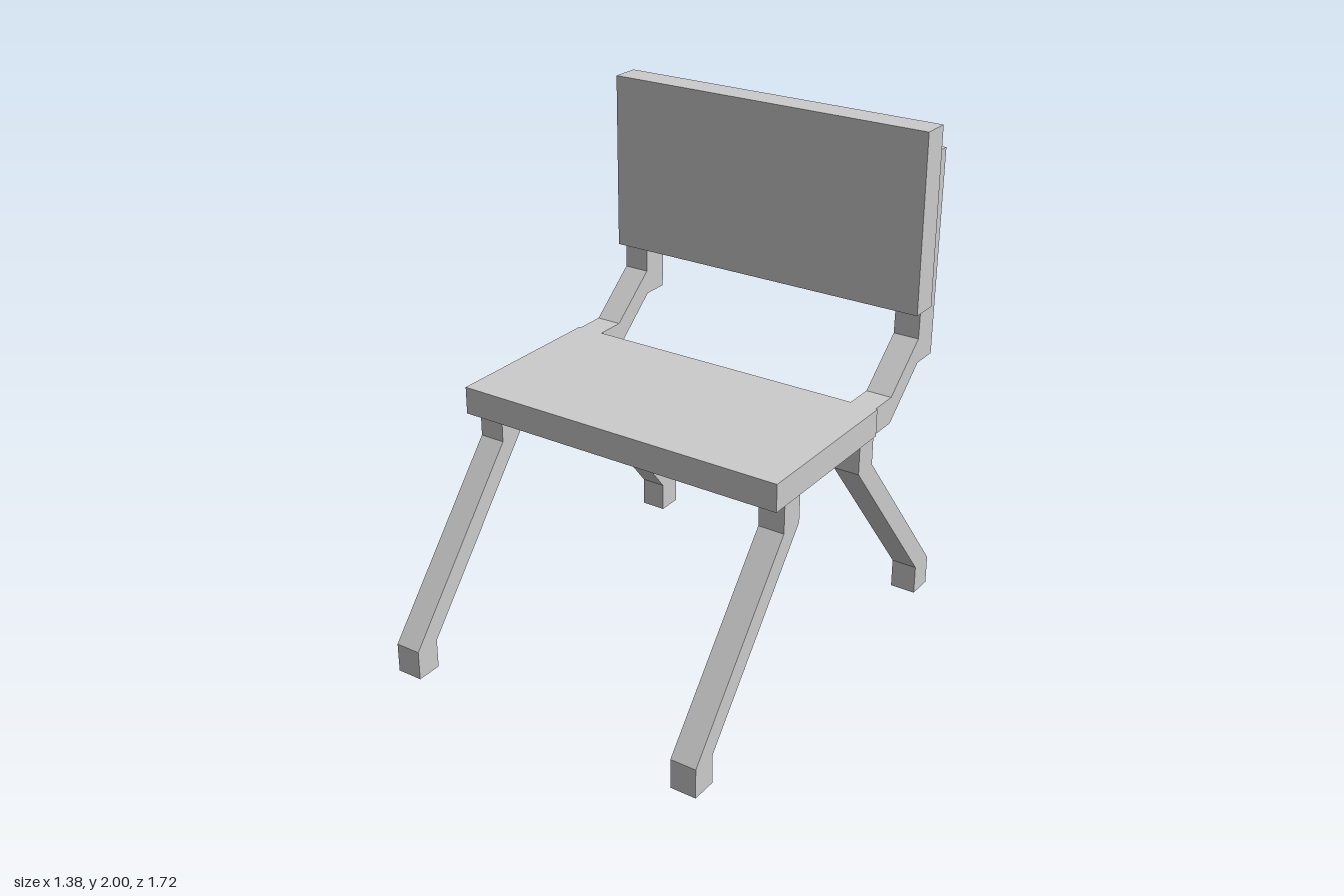
import * as THREE from 'three';

const material = new THREE.MeshStandardMaterial({ color: 0xcccccc, flatShading: true });
const BAR = 0.105; // width of the square bars

// Board given by its min and max corners
function board(name, [x0, y0, z0], [x1, y1, z1]) {
  const mesh = new THREE.Mesh(new THREE.BoxGeometry(x1 - x0, y1 - y0, z1 - z0), material);
  mesh.position.set((x0 + x1) / 2, (y0 + y1) / 2, (z0 + z1) / 2);
  mesh.name = name;
  return mesh;
}

// Bent bar: a side profile of [z, y] points, extruded across x
function bar(name, profile, x) {
  const shape = new THREE.Shape(profile.map(([z, y]) => new THREE.Vector2(z, y)));
  const geometry = new THREE.ExtrudeGeometry(shape, { depth: BAR, bevelEnabled: false });
  geometry.translate(0, 0, -BAR / 2);
  geometry.rotateY(-Math.PI / 2);
  const mesh = new THREE.Mesh(geometry, material);
  mesh.position.x = x;
  mesh.name = name;
  return mesh;
}

export function createModel() {
  const chair = new THREE.Group();
  chair.name = 'chair';

  chair.add(board('seat', [-0.69, 0.905, -0.32], [0.69, 1.015, 0.39]));
  chair.add(board('backrest', [-0.69, 1.29, -0.717], [0.69, 2, -0.602]));

  // Splayed leg with upright top and foot
  const leg = [
    [0.215, 0.905], [0.215, 0.785], [0.757, 0.12], [0.757, 0],
    [0.862, 0], [0.862, 0.12], [0.318, 0.785], [0.318, 0.905],
  ];
  const rearLeg = leg.map(([z, y]) => [-z, y]);

  // Arm from the seat's rear edge, kinking up into the backrest post
  const support = [
    [-0.315, 0.905], [-0.315, 1.013], [-0.445, 1.013], [-0.645, 1.18],
    [-0.665, 1.9], [-0.773, 1.9], [-0.76, 1.08], [-0.65, 1.08], [-0.445, 0.905],
  ];

  for (const [side, x] of [['left', 0.628], ['right', -0.632]]) {
    chair.add(bar(`${side}FrontLeg`, leg, x));
    chair.add(bar(`${side}RearLeg`, rearLeg, x));
    chair.add(bar(`${side}BackSupport`, support, x));
  }
  return chair;
}
